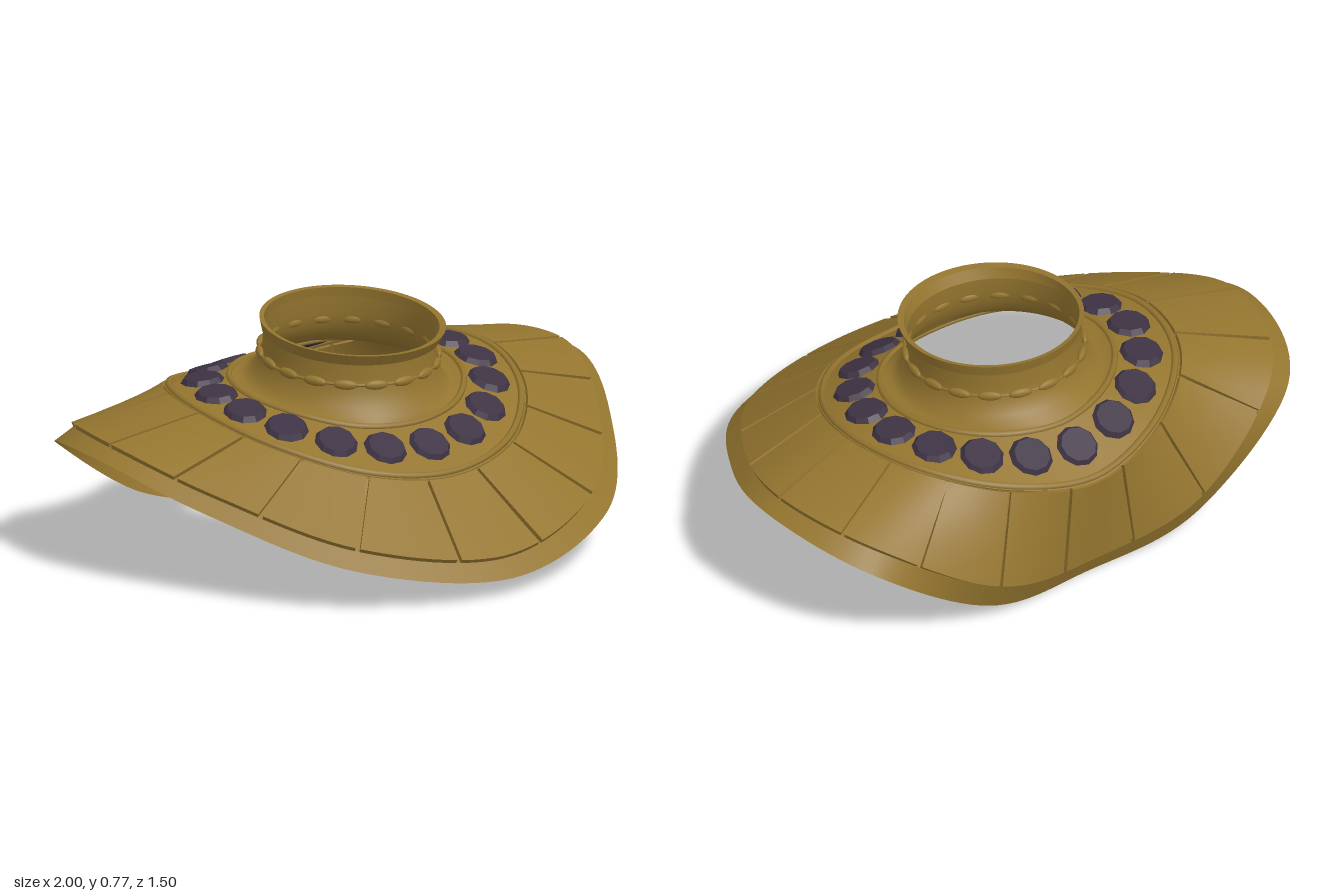
import * as THREE from 'three';

const V = (x, y, z) => new THREE.Vector3(x, y, z);
const TAU = Math.PI * 2;

// Closed left-right symmetric ring from seven points (front to back along the +x side);
// returns a function of the angle in degrees, 0 = front, 90 = left, 180 = back.
function ring(half) {
  const pts = half.map(p => V(...p));
  for (let i = half.length - 2; i > 0; i--) pts.push(V(-half[i][0], half[i][1], half[i][2]));
  const curve = new THREE.CatmullRomCurve3(pts, true, 'catmullrom', 0.5);
  return t => curve.getPoint((((t % 360) + 360) % 360) / 360);
}

// Tilted ellipse given its half width and its front and back points in the side plane
function ellipse(rx, fz, fy, bz, by) {
  return t => {
    const a = t / 360 * TAU, c = Math.cos(a);
    return V(rx * Math.sin(a), (fy + by) / 2 + (fy - by) / 2 * c, (fz + bz) / 2 + (fz - bz) / 2 * c);
  };
}

const mix = (a, b, s) => t => a(t).lerp(b(t), s);

// Smooth skin through a list of rings
function loft(rings, n = 144) {
  const pos = [], idx = [];
  rings.forEach((r, i) => {
    for (let j = 0; j < n; j++) {
      pos.push(...r(j * 360 / n).toArray());
      if (i === rings.length - 1) continue;
      const a = i * n + j, d = i * n + (j + 1) % n;
      idx.push(a, a + n, d + n, a, d + n, d);
    }
  });
  const g = new THREE.BufferGeometry();
  g.setAttribute('position', new THREE.Float32BufferAttribute(pos, 3));
  g.setIndex(idx);
  g.computeVertexNormals();
  return g;
}

// Round cord following a ring
function cord(fn, radius) {
  const pts = [];
  for (let t = 0; t < 360; t += 7.5) pts.push(fn(t));
  return new THREE.TubeGeometry(new THREE.CatmullRomCurve3(pts, true), 144, radius, 6, true);
}

// Main rings of the draped collar
const bandInner = ring([[0, .475, .20], [.2, .49, .155], [.345, .525, .02], [.40, .55, -.16],
  [.345, .56, -.34], [.2, .555, -.47], [0, .545, -.52]]);
const bandOuter = ring([[0, .34, .42], [.30, .38, .35], [.53, .465, .125], [.615, .53, -.16],
  [.54, .535, -.45], [.31, .475, -.65], [0, .42, -.725]]);
const panelOuter = ring([[0, .13, .70], [.49, .21, .54], [.80, .36, .17], [.945, .47, -.22],
  [.81, .42, -.60], [.42, .18, -.745], [0, .09, -.715]]);
const rim = ring([[0, .065, .745], [.53, .15, .575], [.85, .31, .18], [1, .43, -.22],
  [.865, .36, -.62], [.43, .075, -.70], [0, 0, -.665]]);

// Point on the panel surface: s from inner to outer edge, h along the normal
function panelPoint(t, s, h) {
  const at = (tt, ss) => bandOuter(tt).lerp(panelOuter(tt), ss);
  const p = at(t, s);
  const ds = at(t, s + .05).sub(at(t, s - .05)), dt = at(t + 1, s).sub(at(t - 1, s));
  return p.addScaledVector(ds.cross(dt).normalize(), h);
}

// Curved slab: a box bent onto the panel surface
function slab(t0, t1, s0, s1, h0, h1) {
  const g = new THREE.BoxGeometry(1, 1, 1, 8, 1, 4), p = g.attributes.position;
  for (let i = 0; i < p.count; i++) {
    const q = panelPoint(THREE.MathUtils.lerp(t0, t1, p.getX(i) + .5),
      THREE.MathUtils.lerp(s0, s1, p.getZ(i) + .5), THREE.MathUtils.lerp(h0, h1, p.getY(i) + .5));
    p.setXYZ(i, q.x, q.y, q.z);
  }
  g.computeVertexNormals();
  return g;
}

// Places a mesh on a ring: local x along the ring, y along the outward normal
function seat(mesh, along, across, t) {
  const x = along(t + 1).sub(along(t - 1)).normalize();
  const y = across(t).cross(x).normalize();
  const z = V(0, 0, 0).crossVectors(x, y);
  mesh.quaternion.setFromRotationMatrix(new THREE.Matrix4().makeBasis(x, y, z));
  mesh.position.copy(along(t));
}

export function createModel() {
  const model = new THREE.Group();
  const gold = new THREE.MeshStandardMaterial({ color: 0x94752f, side: THREE.DoubleSide });
  gold.name = 'gold';
  const stone = new THREE.MeshStandardMaterial({ color: 0x3e3344 });
  stone.name = 'dark purple stone';
  const add = (name, geo, mat = gold, parent = model) => {
    const m = new THREE.Mesh(geo, mat);
    m.name = name;
    parent.add(m);
    return m;
  };
  const group = name => {
    const g = new THREE.Group();
    g.name = name;
    model.add(g);
    return g;
  };

  // Collar sheet: gem band, then the backing under the panels, then the rim
  add('gemBand', loft([bandInner, mix(bandInner, bandOuter, .5), bandOuter]));
  const back = s => t => panelPoint(t, s, -.012);
  add('backing', loft([bandOuter, back(.02), back(.35), back(.7), back(1)]));
  add('rim', loft([back(1), mix(back(1), rim, .5), rim]));

  // Raised borders beside the gems
  add('innerBorder', cord(mix(bandInner, bandOuter, .03), .011));
  add('outerBorder', cord(mix(bandInner, bandOuter, .93), .012));

  // Eighteen panels with narrow gaps
  const panels = group('panels');
  for (let k = 0; k < 18; k++)
    add('panel', slab(k * 20 - 9.5, k * 20 + 9.5, .02, 1, -.02, .004), gold, panels);

  // Eighteen flat faceted gems
  const gems = group('gems');
  const gemGeo = new THREE.CylinderGeometry(.062, .077, .02, 10).toNonIndexed();
  gemGeo.computeVertexNormals();
  const gemLine = mix(bandInner, bandOuter, .43);
  const slope = t => bandOuter(t).sub(bandInner(t));
  for (let k = 0; k < 18; k++) {
    const gem = add('gem', gemGeo, stone, gems);
    seat(gem, gemLine, slope, k * 20);
    gem.translateY(.006);
  }

  // Neck tube with a flared foot
  const neckTop = ellipse(.288, .145, .675, -.43, .735);
  add('neck', loft([
    neckTop,
    ellipse(.287, .146, .62, -.435, .67),
    ellipse(.297, .152, .575, -.445, .625),
    ellipse(.318, .168, .53, -.47, .585),
    ellipse(.35, .19, .50, -.505, .558),
    bandInner]));

  // Flared lip: underside, outer wall, top edge and inner wall
  const lipLow = ellipse(.298, .165, .675, -.432, .73);
  const lipHigh = ellipse(.308, .19, .713, -.44, .77);
  const lipInside = ellipse(.29, .165, .71, -.425, .767);
  add('lipWall', loft([lipHigh, lipLow]));
  add('lipUnderside', loft([lipLow, neckTop]));
  add('lipEdge', loft([lipInside, lipHigh]));
  add('lipInside', loft([neckTop, lipInside]));

  // Chain of oval links around the neck
  const chain = group('neckChain');
  const linkGeo = new THREE.SphereGeometry(1, 14, 8);
  linkGeo.scale(.042, .013, .017);
  const chainLine = ellipse(.298, .154, .603, -.447, .652);
  for (let k = 0; k < 18; k++)
    seat(add('link', linkGeo, gold, chain), chainLine, () => V(0, -1, 0), k * 20);
  add('chainCord', cord(chainLine, .005), gold, chain);

  return model;
}
